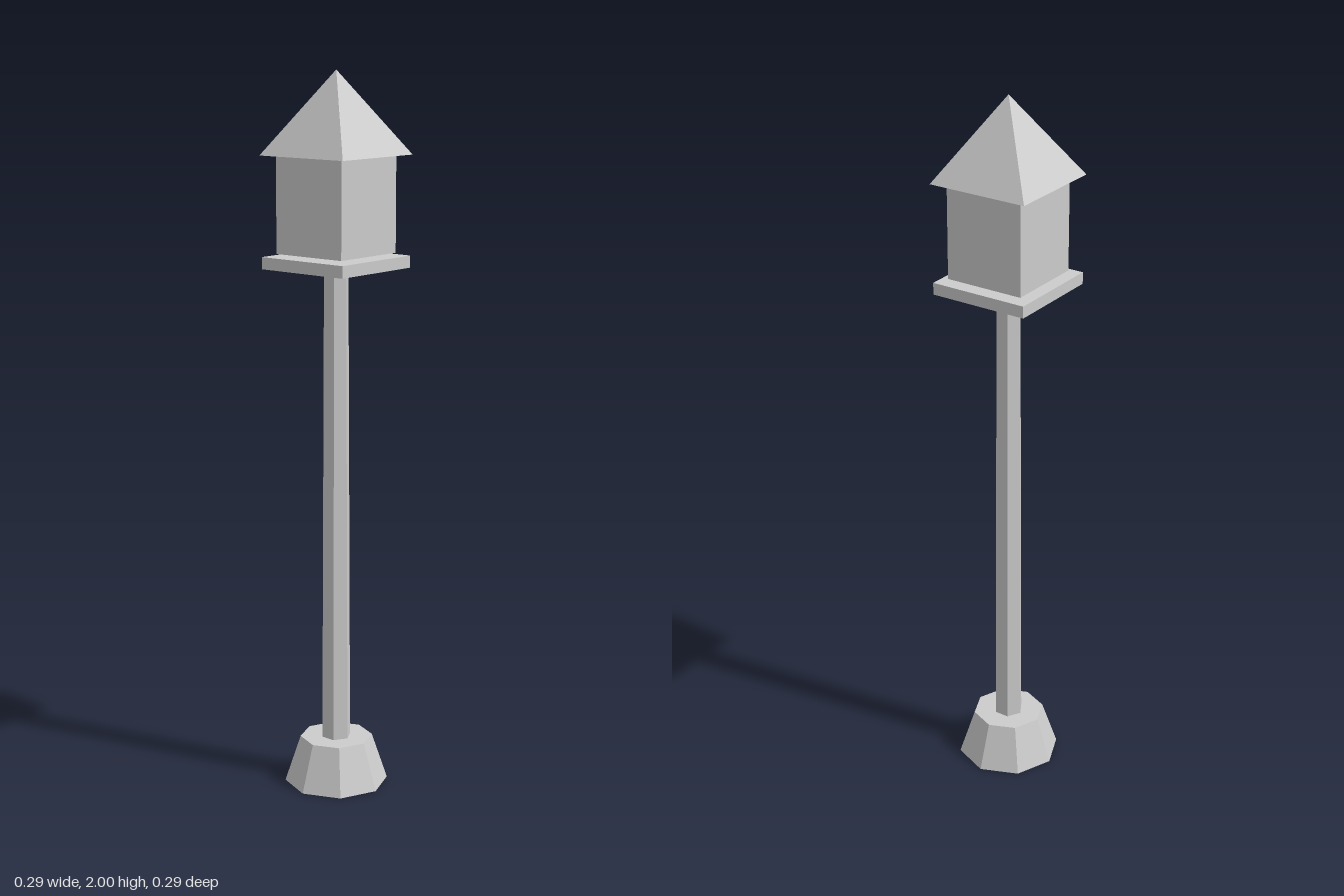
import * as THREE from 'three';

export function createModel() {
  const model = new THREE.Group();
  model.name = 'lampPost';
  const grey = new THREE.MeshStandardMaterial({ color: 0xcccccc, flatShading: true });
  grey.name = 'light grey';

  const add = (name, geometry, bottom, height) => {
    const mesh = new THREE.Mesh(geometry, grey);
    mesh.name = name;
    mesh.position.y = bottom + height / 2;
    model.add(mesh);
  };
  // Tapered prism standing on y = bottom, turned about the vertical axis
  const prism = (name, rTop, rBottom, bottom, top, sides, turn = 0) => {
    const h = top - bottom;
    add(name, new THREE.CylinderGeometry(rTop, rBottom, h, sides).rotateY(turn), bottom, h);
  };
  const block = (name, width, bottom, top) => {
    const h = top - bottom;
    add(name, new THREE.BoxGeometry(width, h, width), bottom, h);
  };

  // Octagonal foot and slim six-sided pole with corners on the x axis
  prism('foot', 0.102, 0.146, 0, 0.132, 8);
  prism('pole', 0.035, 0.042, 0.132, 1.513, 6, Math.PI / 2);

  // Tray, lantern housing and pyramid roof
  block('tray', 0.284, 1.472, 1.505);
  block('lanternHousing', 0.228, 1.513, 1.776);
  const roofHeight = 2 - 1.776;
  add('roof', new THREE.ConeGeometry(0.145 * Math.SQRT2, roofHeight, 4).rotateY(Math.PI / 4), 1.776, roofHeight);

  return model;
}
